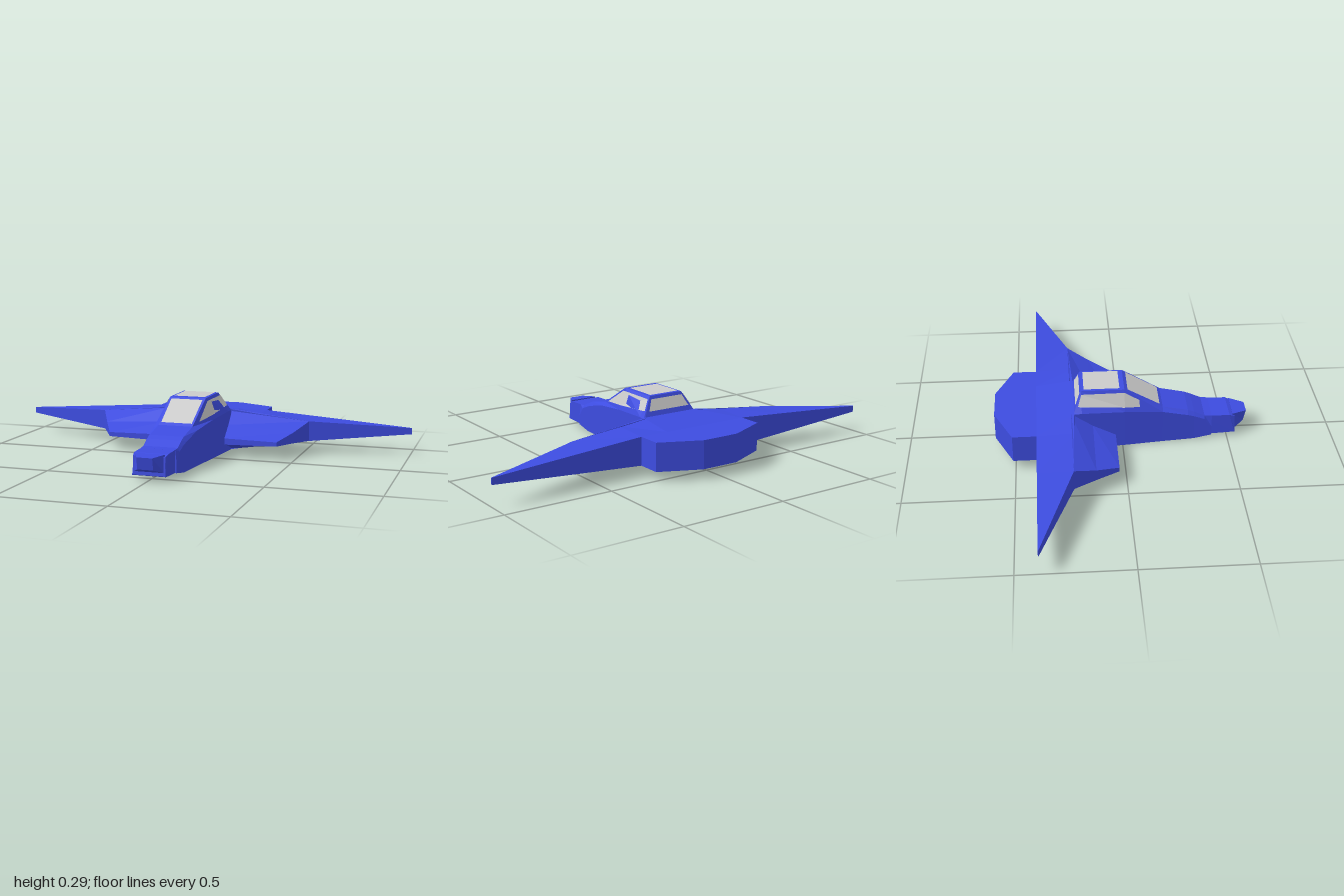
import * as THREE from 'three';

const paint = new THREE.MeshStandardMaterial({ color: 0x3d4ce0, flatShading: true });
const glass = new THREE.MeshStandardMaterial({ color: 0xcccccc, flatShading: true, side: THREE.DoubleSide });

function meshFrom(name, positions, material) {
  const g = new THREE.BufferGeometry();
  g.setAttribute('position', new THREE.Float32BufferAttribute(positions, 3));
  g.computeVertexNormals();
  const m = new THREE.Mesh(g, material);
  m.name = name;
  return m;
}

// Skin a series of rings (counter-clockwise seen from the last one) and cap both ends
function loft(name, rings) {
  const out = [];
  const tri = (a, b, c) => out.push(...a, ...b, ...c);
  const n = rings[0].length;
  for (let i = 0; i + 1 < rings.length; i++) {
    for (let j = 0; j < n; j++) {
      const k = (j + 1) % n;
      tri(rings[i][j], rings[i][k], rings[i + 1][k]);
      tri(rings[i][j], rings[i + 1][k], rings[i + 1][j]);
    }
  }
  const first = rings[0], last = rings[rings.length - 1];
  for (let j = 1; j + 1 < n; j++) {
    tri(first[0], first[j + 1], first[j]);
    tri(last[0], last[j], last[j + 1]);
  }
  return meshFrom(name, out, paint);
}

// Thin convex panel
function panel(name, pts) {
  const out = [];
  for (let j = 1; j + 1 < pts.length; j++) out.push(...pts[0], ...pts[j], ...pts[j + 1]);
  return meshFrom(name, out, glass);
}

// Fuselage stations: z, bottom y, side half width, shoulder y, top half width, top y
const stations = [
  [-0.225, 0, 0.145, 0.195, 0.135, 0.2],
  [-0.19, 0, 0.142, 0.195, 0.088, 0.285],
  [0.01, 0, 0.125, 0.185, 0.088, 0.285],
  [0.19, 0, 0.106, 0.165, 0.082, 0.18],
  [0.31, 0, 0.095, 0.135, 0.08, 0.155],
  [0.34, 0, 0.092, 0.125, 0.08, 0.143],
  [0.39, 0.008, 0.089, 0.105, 0.08, 0.12],
  [0.425, 0.014, 0.087, 0.06, 0.08, 0.117],
];

// Half width of the canopy side at a given z and y
function canopyX(z, y) {
  let i = 0;
  while (stations[i + 1][0] < z) i++;
  const t = (z - stations[i][0]) / (stations[i + 1][0] - stations[i][0]);
  const [, , ws, ys, wt, yt] = stations[i].map((v, k) => THREE.MathUtils.lerp(v, stations[i + 1][k], t));
  return THREE.MathUtils.lerp(ws, wt, (y - ys) / (yt - ys));
}

export function createModel() {
  const model = new THREE.Group();
  model.name = 'spacecraft';

  // Fuselage with raised cockpit
  model.add(loft('fuselage', stations.map(([z, yb, ws, ys, wt, yt]) => [
    [ws, yb, z], [ws, ys, z], [wt, yt, z], [-wt, yt, z], [-ws, ys, z], [-ws, yb, z],
  ])));

  // Stepped nose: w, y0, y1, z at the bottom, z at the top
  const boxRing = ([w, y0, y1, z0, z1]) => [[w, y0, z0], [w, y1, z1], [-w, y1, z1], [-w, y0, z0]];
  model.add(loft('nose', [
    [0.08, 0.014, 0.118, 0.4, 0.38], [0.078, 0.02, 0.115, 0.538, 0.51], [0.074, 0.022, 0.106, 0.54, 0.535],
  ].map(boxRing)));
  model.add(loft('noseTip', [
    [0.07, 0.036, 0.116, 0.535, 0.525], [0.036, 0.056, 0.111, 0.583, 0.595],
  ].map(boxRing)));

  // One wing from tip to tip: x, front z, front y range, rear y range
  const wing = [
    [0.145, -0.225, 0, 0.2, 0.045, 0.175],
    [0.28, -0.23, 0.025, 0.183, 0.045, 0.175],
    [0.53, -0.24, 0.062, 0.158, 0.062, 0.158],
    [1, -0.397, 0.095, 0.125, 0.095, 0.125],
  ];
  const span = [...wing.map(([x, ...r]) => [-x, ...r]).reverse(), ...wing];
  model.add(loft('wing', span.map(([x, zf, f0, f1, r0, r1]) => [
    [x, f0, zf], [x, r0, -0.4], [x, r1, -0.4], [x, f1, zf],
  ])));

  // Rear engine block
  const plan = new THREE.Shape([
    [-0.28, 0.39], [0.28, 0.39], [0.28, 0.51], [0.09, 0.595], [-0.09, 0.595], [-0.28, 0.51],
  ].map(([x, y]) => new THREE.Vector2(x, y)));
  const block = new THREE.Mesh(new THREE.ExtrudeGeometry(plan, { depth: 0.13, bevelEnabled: false }), paint);
  block.name = 'engineBlock';
  block.rotation.x = -Math.PI / 2;
  block.position.y = 0.045;
  model.add(block);

  // Flared fairings ahead of the wing: z, inner x and y range, outer x and y range
  const fairing = [
    [-0.24, 0.147, 0, 0.2, 0.53, 0.062, 0.158],
    [-0.14, 0.156, 0.035, 0.137, 0.477, 0.066, 0.118],
    [-0.035, 0.167, 0.06, 0.09, 0.42, 0.066, 0.086],
  ];
  for (const s of [1, -1]) {
    const side = s > 0 ? 'left' : 'right';
    model.add(loft(side + 'WingFairing', fairing.map(([z, xi, i0, i1, xo, o0, o1]) => {
      const ring = [[s * xi, i0, z], [s * xo, o0, z], [s * xo, o1, z], [s * xi, i1, z]];
      return s > 0 ? ring : ring.reverse();
    })));

    // Side windows, bent at the windscreen pillar
    const at = ([z, y]) => [s * (canopyX(z, y) + 0.004), y + 0.001, z];
    model.add(panel(side + 'FrontSideWindow', [[0.14, 0.194], [0.01, 0.206], [0.01, 0.272]].map(at)));
    model.add(panel(side + 'RearSideWindow',
      [[0.01, 0.206], [-0.19, 0.222], [-0.207, 0.224], [-0.19, 0.272], [0.01, 0.272]].map(at)));
  }

  // Windscreen, roof and rear windows: half width, y, z of both edges
  const strip = (name, [w0, y0, z0], [w1, y1, z1]) =>
    model.add(panel(name, [[w0, y0, z0], [w1, y1, z1], [-w1, y1, z1], [-w0, y0, z0]]));
  strip('windscreen', [0.074, 0.191, 0.176], [0.077, 0.279, 0.025]);
  strip('roofWindow', [0.077, 0.287, -0.012], [0.077, 0.287, -0.178]);
  strip('rearWindow', [0.085, 0.272, -0.198], [0.11, 0.222, -0.2185]);

  return model;
}
